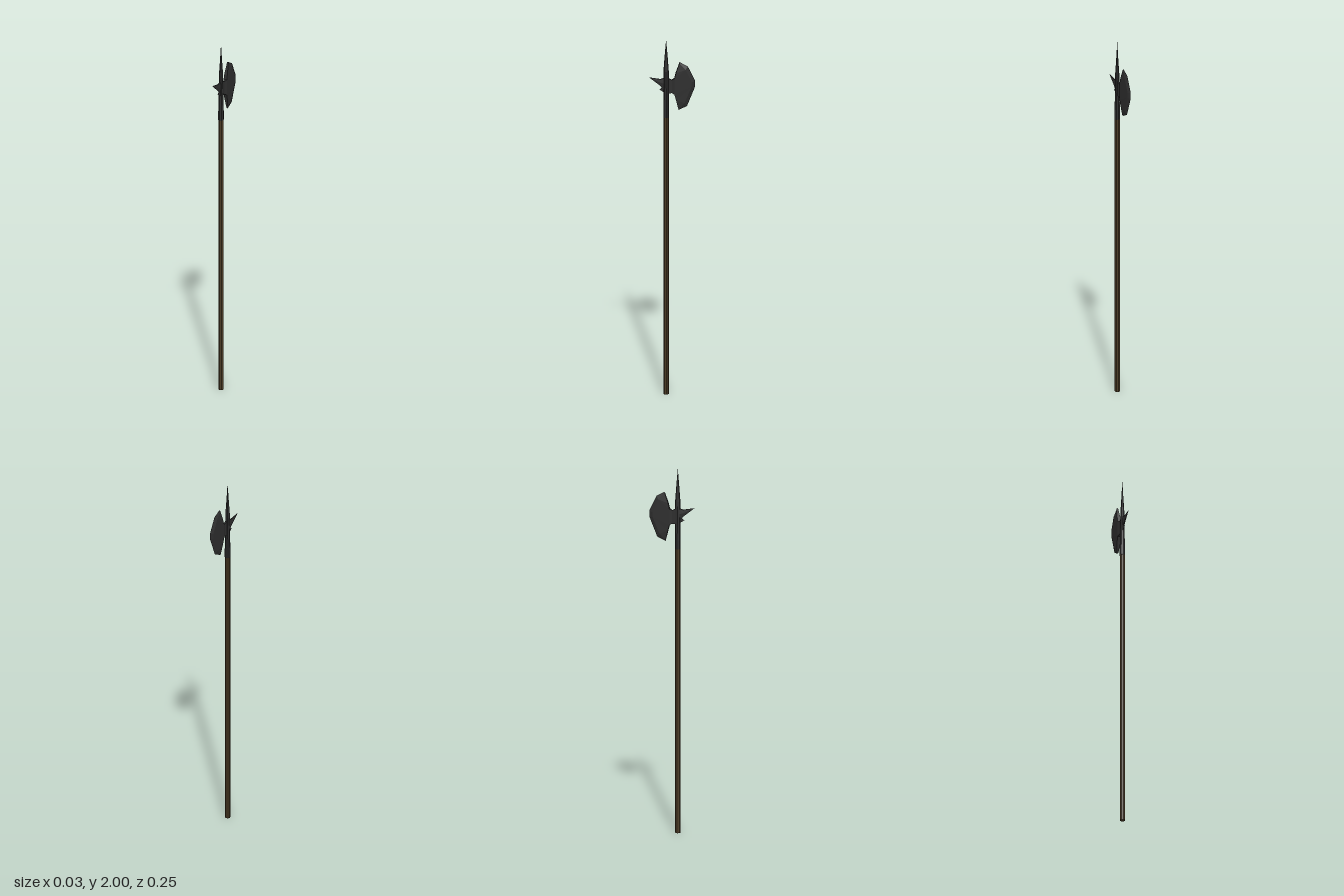
import * as THREE from 'three';

const POLE_Z = 0.03;
const wood = new THREE.MeshStandardMaterial({ color: 0x4a3a24, flatShading: true });
const metal = new THREE.MeshStandardMaterial({ color: 0x2d2d2d, flatShading: true, side: THREE.DoubleSide });

// Plate mirrored about x = 0: rows run from +z to -z, points [z, y, half thickness] run upward
function plate(name, rows) {
  const pos = [];
  const at = ([z, y, t], side) => new THREE.Vector3(side * t, y, z);
  const tri = (a, b, c) => {
    const area = b.clone().sub(a).cross(c.clone().sub(a)).length();
    if (area > 1e-9) for (const v of [a, b, c]) pos.push(v.x, v.y, v.z);
  };
  const n = rows.length - 1, m = rows[0].length - 1;
  for (let i = 0; i < n; i++) for (let j = 0; j < m; j++) {
    const a = rows[i][j], b = rows[i + 1][j], c = rows[i + 1][j + 1], d = rows[i][j + 1];
    tri(at(a, 1), at(b, 1), at(c, 1));
    tri(at(a, 1), at(c, 1), at(d, 1));
    tri(at(a, -1), at(c, -1), at(b, -1));
    tri(at(a, -1), at(d, -1), at(c, -1));
  }
  // Rim wall around the outline
  const rim = [
    ...rows.map(r => r[0]), ...rows[n].slice(1),
    ...rows.slice(0, n).reverse().map(r => r[m]), ...rows[0].slice(1, m).reverse()
  ];
  rim.forEach((p, k) => {
    const q = rim[(k + 1) % rim.length];
    tri(at(p, 1), at(p, -1), at(q, -1));
    tri(at(p, 1), at(q, -1), at(q, 1));
  });
  const geo = new THREE.BufferGeometry();
  geo.setAttribute('position', new THREE.Float32BufferAttribute(pos, 3));
  geo.computeVertexNormals();
  const mesh = new THREE.Mesh(geo, metal);
  mesh.name = name;
  return mesh;
}

export function createModel() {
  const group = new THREE.Group();
  group.name = 'poleaxe';

  // Octagonal wooden shaft
  const shaft = new THREE.Mesh(new THREE.CylinderGeometry(0.0145, 0.0145, 1.57, 8), wood);
  shaft.name = 'shaft';
  shaft.position.set(0, 0.785, POLE_Z);
  group.add(shaft);

  // Socket and spike: octagonal, flattened in x toward the tip
  const levels = [[0, 1.56, 1], [0.0152, 1.56, 1], [0.0152, 1.61, 1], [0.0148, 1.68, 0.86],
    [0.0145, 1.82, 0.68], [0.0085, 1.9, 0.55], [0, 2, 0.5]];
  const spikeGeo = new THREE.LatheGeometry(levels.map(([r, y]) => new THREE.Vector2(r, y)), 8);
  const p = spikeGeo.attributes.position;
  for (let i = 0; i < p.count; i++) p.setX(i, p.getX(i) * levels[i % levels.length][2]);
  spikeGeo.computeVertexNormals();
  const spike = new THREE.Mesh(spikeGeo, metal);
  spike.name = 'socketAndSpike';
  spike.position.z = POLE_Z;
  group.add(spike);

  // Axe blade: inner edge, ridge, sharpened edge
  group.add(plate('axeBlade', [
    [[-0.036, 1.603, 0.004], [-0.022, 1.66, 0.009], [-0.014, 1.69, 0.01],
      [-0.014, 1.778, 0.01], [-0.022, 1.81, 0.009], [-0.041, 1.867, 0.004]],
    [[-0.038, 1.61, 0.004], [-0.068, 1.64, 0.009], [-0.105, 1.73, 0.009],
      [-0.107, 1.757, 0.009], [-0.074, 1.828, 0.009], [-0.043, 1.86, 0.004]],
    [[-0.037, 1.6, 0], [-0.082, 1.622, 0], [-0.123, 1.725, 0],
      [-0.125, 1.762, 0], [-0.086, 1.845, 0], [-0.042, 1.87, 0]]
  ]));

  // Neck joining the blade to the socket
  group.add(plate('bladeNeck', [
    [[0.03, 1.695, 0.006], [0.03, 1.785, 0.006]],
    [[0, 1.697, 0.004], [0, 1.771, 0.004]],
    [[-0.014, 1.69, 0.01], [-0.014, 1.778, 0.01]]
  ]));

  // Rear beak and the small barb under it
  group.add(plate('beak', [
    [[0.122, 1.788, 0], [0.122, 1.788, 0], [0.122, 1.788, 0]],
    [[0.06, 1.738, 0.003], [0.06, 1.757, 0.005], [0.06, 1.776, 0.003]],
    [[0.03, 1.705, 0.005], [0.03, 1.75, 0.008], [0.03, 1.785, 0.005]]
  ]));
  group.add(plate('barb', [
    [[0.066, 1.718, 0], [0.066, 1.718, 0]],
    [[0.03, 1.695, 0.005], [0.03, 1.745, 0.005]]
  ]));

  return group;
}
